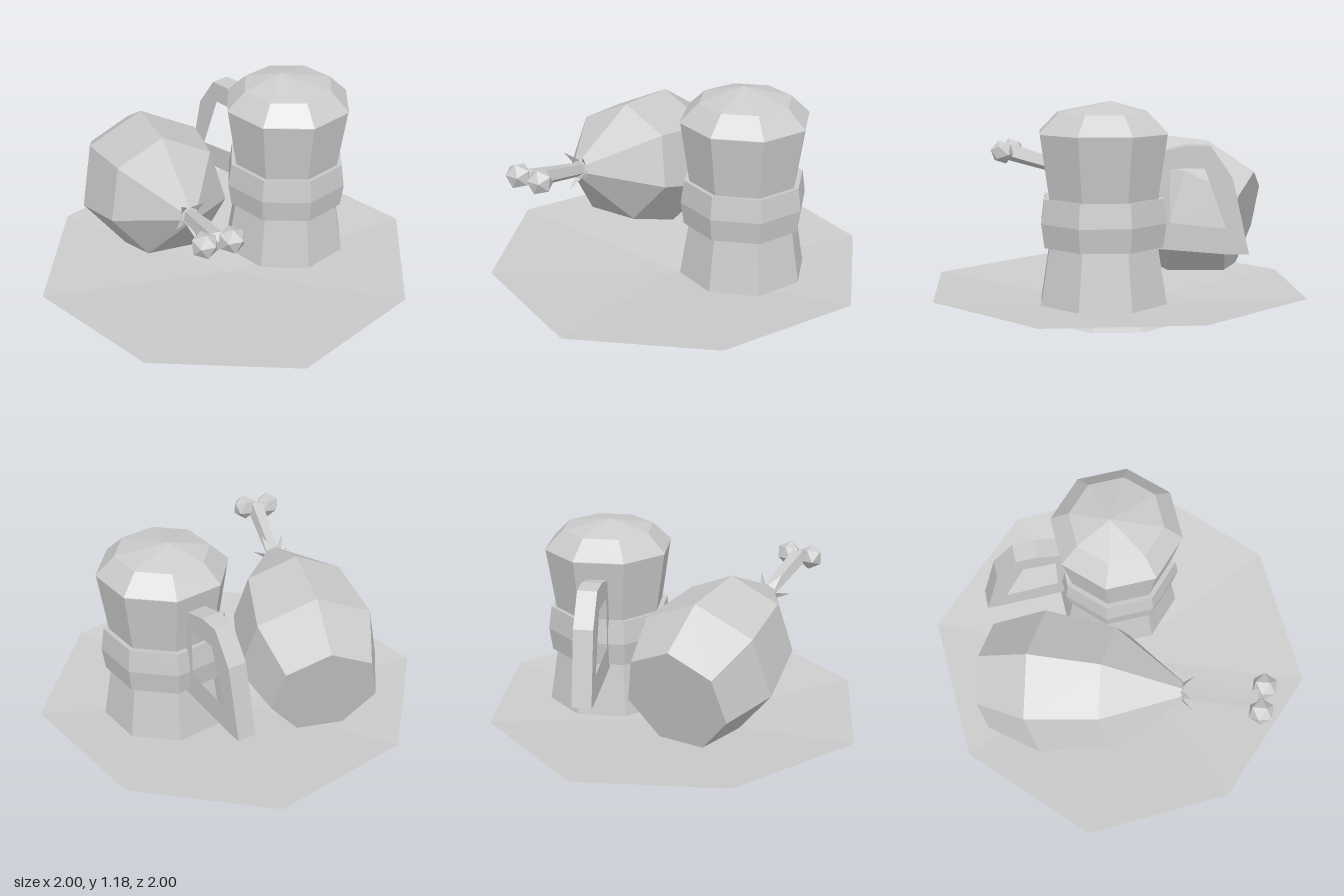
import * as THREE from 'three';

const grey = new THREE.MeshStandardMaterial({ color: 0xcccccc, flatShading: true });
const thin = new THREE.MeshStandardMaterial({ color: 0xcccccc, flatShading: true, side: THREE.DoubleSide });
const TWIST = 0.04; // small turn shared by the eight-sided parts

function add(parent, name, geometry, material = grey) {
  const mesh = new THREE.Mesh(geometry, material);
  mesh.name = name;
  parent.add(mesh);
  return mesh;
}

const lathe = (profile, sides, start) =>
  new THREE.LatheGeometry(profile.map(([r, y]) => new THREE.Vector2(r, y)), sides, start);

function polygon(points, Type = THREE.Shape) {
  return new Type(points.map(([x, y]) => new THREE.Vector2(x, y)));
}

// Shallow dished plate on a hollow, flared foot
function makePlate() {
  const plate = new THREE.Group();
  plate.name = 'plate';
  const profile = [[0, 0.05], [0.33, 0.05], [1, 0.183], [0, 0.075]];
  const dish = lathe(profile, 8, TWIST);
  const pos = dish.attributes.position;
  for (let i = 0; i < pos.count; i++) {
    // every second corner reaches a little further out
    const k = Math.floor(i / profile.length) % 2 ? 1.03 : 1;
    pos.setXYZ(i, pos.getX(i) * k, pos.getY(i), pos.getZ(i) * k);
  }
  add(plate, 'dish', dish);
  add(plate, 'foot', lathe([[0.345, 0], [0.24, 0.052]], 8, TWIST), thin);
  return plate;
}

// Waisted mug with a belt, a domed head of foam and a loop handle
function makeMug() {
  const mug = new THREE.Group();
  mug.name = 'mug';
  mug.position.set(0.195, 0, -0.312);
  add(mug, 'body', lathe([
    [0, 0.185], [0.335, 0.185], [0.288, 0.47], [0.288, 0.71], [0.335, 1.025], [0, 1.025],
  ], 8, TWIST));
  add(mug, 'belt', lathe([
    [0.28, 0.47], [0.315, 0.47], [0.332, 0.59], [0.315, 0.71], [0.28, 0.705],
  ], 8, TWIST));
  const foam = add(mug, 'foam', lathe([[0, 1.03], [0.338, 1.03], [0.24, 1.125], [0, 1.18]], 8, TWIST));
  const pos = foam.geometry.attributes.position;
  for (let i = 0; i < pos.count; i++) {
    if (pos.getY(i) > 1.17) pos.setX(i, -0.04); // off-centre peak
  }

  const outline = polygon([
    [0.28, 0.93], [0.42, 0.965], [0.53, 0.96], [0.64, 0.8], [0.725, 0.42], [0.63, 0.42], [0.27, 0.45],
  ]);
  outline.holes.push(polygon([[0.27 + 0.06, 0.85], [0.5, 0.85], [0.61, 0.55], [0.33, 0.58]], THREE.Path));
  const geometry = new THREE.ExtrudeGeometry(outline, { depth: 0.1, bevelEnabled: false });
  geometry.translate(0, 0, -0.05);
  add(mug, 'handle', geometry).rotation.y = 2.76;
  return mug;
}

// Leaning leg of meat: local y runs from the broad end to the bone
function makeDrumstick() {
  const leg = new THREE.Group();
  leg.name = 'drumstick';
  leg.position.set(-0.67, 0.505, -0.16);
  leg.rotation.set(1.334, 0.814, 0, 'YXZ');
  add(leg, 'meat', lathe([
    [0, 0], [0.28, 0], [0.375, 0.29], [0.315, 0.66], [0.045, 1.02], [0, 1.02],
  ], 7, Math.PI));
  add(leg, 'bone', lathe([[0, 0.98], [0.036, 0.98], [0.05, 1.4], [0, 1.42]], 5, 0));
  for (const side of [-1, 1]) {
    const knob = add(leg, 'boneKnob', new THREE.IcosahedronGeometry(0.068, 0));
    knob.position.set(side * 0.066, 1.42, 0);
  }

  // Ragged skin points around the start of the bone
  const corners = [];
  for (let i = 0; i < 5; i++) {
    const a = (i / 5) * Math.PI * 2;
    const point = (angle, r, y) => corners.push(r * Math.sin(angle), y, r * Math.cos(angle));
    point(a - 0.5, 0.045, 1.01);
    point(a + 0.5, 0.045, 1.01);
    point(a, 0.1, 1.08);
  }
  const skin = new THREE.BufferGeometry();
  skin.setAttribute('position', new THREE.Float32BufferAttribute(corners, 3));
  skin.computeVertexNormals();
  add(leg, 'tornSkin', skin, thin);
  return leg;
}

export function createModel() {
  const model = new THREE.Group();
  model.name = 'meal';
  model.add(makePlate(), makeMug(), makeDrumstick());
  return model;
}
